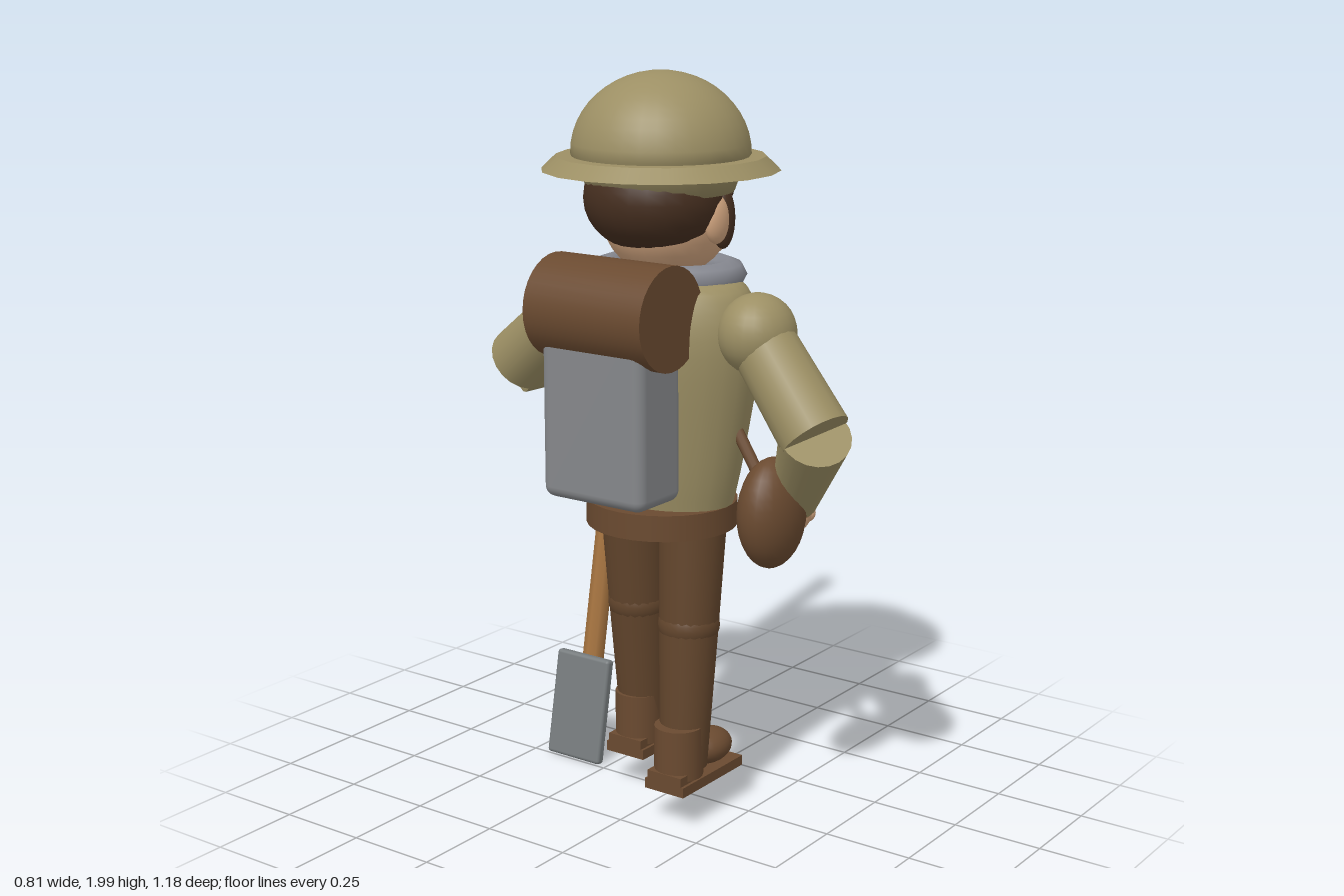
import * as THREE from 'three';
import { RoundedBoxGeometry } from 'three/addons/geometries/RoundedBoxGeometry.js';

const mat = (name, color, side = THREE.FrontSide) => {
  const m = new THREE.MeshStandardMaterial({ color, side });
  m.name = name;
  return m;
};

export function createModel() {
  const khaki = mat('khaki cloth', 0x9c8f64);
  const skin = mat('skin', 0xd3a680);
  const trousers = mat('brown trousers', 0x62452c);
  const leather = mat('leather', 0x6a4a30);
  const hairMat = mat('dark hair', 0x452e1f);
  const wood = mat('wood', 0xa5733f);
  const canvas = mat('grey canvas', 0x85878a);
  const wool = mat('grey wool', 0x85878f);
  const steel = mat('steel', 0x767b7d);
  const cuffMat = mat('cuff', 0xc39468);

  const model = new THREE.Group();
  model.name = 'soldier';
  const V = (p) => new THREE.Vector3(...p);

  const add = (name, geo, material, pos = [0, 0, 0], scale = [1, 1, 1]) => {
    const mesh = new THREE.Mesh(geo, material);
    mesh.name = name;
    mesh.position.set(...pos);
    mesh.scale.set(...scale);
    model.add(mesh);
    return mesh;
  };
  const ball = (name, material, pos, radii) =>
    add(name, new THREE.SphereGeometry(1, 24, 16), material, pos, radii);
  // Tapered cylinder between two points
  const limb = (name, material, from, to, r1, r2, sides = 20) => {
    const a = V(from), b = V(to), d = b.clone().sub(a);
    const mesh = add(name, new THREE.CylinderGeometry(r2, r1, d.length(), sides), material);
    mesh.position.copy(a).add(b).multiplyScalar(0.5);
    mesh.quaternion.setFromUnitVectors(new THREE.Vector3(0, 1, 0), d.normalize());
    return mesh;
  };
  const lathe = (name, material, pts, pos, scale) =>
    add(name, new THREE.LatheGeometry(new THREE.SplineCurve(
      pts.map(([r, y]) => new THREE.Vector2(r, y))).getPoints(24), 28), material, pos, scale);

  // Torso
  lathe('torso', khaki, [[0, 0.78], [0.17, 0.785], [0.2, 0.86], [0.238, 1.03], [0.277, 1.28],
    [0.262, 1.41], [0.2, 1.475], [0, 1.5]], [-0.05, 0, 0], [0.7, 1, 1]);
  add('belt', new THREE.CylinderGeometry(0.205, 0.205, 0.07, 28), leather, [-0.057, 0.842, 0], [0.96, 1, 1]);
  add('beltBuckle', new THREE.BoxGeometry(0.02, 0.05, 0.065), wood, [0.142, 0.865, 0]);

  // Scarf with hanging tip
  const ring = new THREE.TorusGeometry(0.165, 0.05, 8, 24);
  ring.rotateX(Math.PI / 2);
  add('scarf', ring, wool, [-0.025, 1.478, 0], [0.84, 0.78, 1]);
  const tip = add('scarfTip', new THREE.ConeGeometry(0.05, 0.09, 4), wool, [0.075, 1.42, 0.13]);
  tip.rotation.set(Math.PI - 0.2, 0.4, 0);

  // Head and face
  ball('head', skin, [-0.03, 1.635, 0], [0.185, 0.17, 0.165]);
  ball('jaw', skin, [0.015, 1.575, 0], [0.135, 0.075, 0.143]);
  ball('hair', hairMat, [-0.09, 1.68, 0], [0.18, 0.145, 0.185]);
  ball('nose', skin, [0.157, 1.635, 0], [0.031, 0.048, 0.031]);
  for (const s of [1, -1]) {
    ball('eye', hairMat, [0.122, 1.68, 0.08 * s], [0.018, 0.024, 0.02]);
    ball('ear', skin, [-0.045, 1.63, 0.165 * s], [0.045, 0.062, 0.026]);
    ball('sideburn', hairMat, [-0.01, 1.63, 0.16 * s], [0.035, 0.08, 0.03]);
  }

  // Helmet
  const dome = [];
  for (let i = 0; i <= 12; i++) {
    const a = (i / 12) * Math.PI / 2;
    dome.unshift(new THREE.Vector2(0.233 * Math.sin(a), 1.79 + 0.21 * Math.cos(a)));
  }
  dome.unshift(new THREE.Vector2(0, 1.69), new THREE.Vector2(0.19, 1.695), new THREE.Vector2(0.21, 1.75));
  add('helmetDome', new THREE.LatheGeometry(dome, 32), khaki, [-0.06, 0, 0]);
  const brim = add('helmetBrim', new THREE.CylinderGeometry(0.272, 0.31, 0.036, 18), khaki, [-0.06, 1.767, 0]);
  brim.rotation.y = Math.PI / 2;

  // Backpack and bedroll
  add('backpack', new RoundedBoxGeometry(0.185, 0.5, 0.32, 3, 0.03), canvas, [-0.277, 1.17, 0]);
  limb('bedroll', leather, [-0.27, 1.41, -0.182], [-0.27, 1.41, 0.185], 0.135, 0.135, 32);

  // Legs and boots: [heel x, hip x, side]
  for (const [heel, hip, s] of [[-0.215, -0.07, 1], [-0.07, -0.035, -1]]) {
    const z = 0.12 * s, top = [hip, 0.82, 0.11 * s], foot = [heel + 0.09, 0.16, z];
    const knee = V(top).lerp(V(foot), 0.41).toArray();
    limb('thigh', trousers, top, knee, 0.09, 0.08);
    limb('shin', trousers, knee, foot, 0.08, 0.064);
    ball('knee', trousers, knee, [0.083, 0.07, 0.083]);
    limb('bootShaft', leather, [heel + 0.068, 0.14, z], [heel + 0.068, 0.28, z], 0.066, 0.066);
    add('bootHeel', new THREE.BoxGeometry(0.08, 0.026, 0.11), leather, [heel + 0.04, 0.146, z]);
    add('bootSole', new THREE.BoxGeometry(0.28, 0.028, 0.126), leather, [heel + 0.14, 0.12, z]);
    ball('bootToe', leather, [heel + 0.2, 0.178, z], [0.08, 0.048, 0.063]);
  }

  // Arms: shoulder, elbow, wrist, hand
  const arms = [
    [[-0.065, 1.355, 0.305], [-0.1, 1.125, 0.505], [0.035, 0.905, 0.36], [0.055, 0.865, 0.345]],
    [[-0.065, 1.355, -0.285], [-0.015, 1.175, -0.515], [0.185, 1.185, -0.375], [0.245, 1.19, -0.325]],
  ];
  for (const [shoulder, elbow, wrist, hand] of arms) {
    ball('shoulder', khaki, shoulder, [0.108, 0.105, 0.1]);
    limb('upperArm', khaki, shoulder, elbow, 0.085, 0.093);
    limb('forearm', khaki, elbow, wrist, 0.093, 0.062);
    const dir = V(hand).sub(V(wrist)).normalize();
    limb('cuff', cuffMat, wrist, V(wrist).addScaledVector(dir, 0.022).toArray(), 0.06, 0.056);
    limb('wrist', skin, wrist, hand, 0.052, 0.046);
    ball('hand', skin, hand, [0.05, 0.056, 0.048]);
    // Curled fingers around the front of the hand
    const side = new THREE.Vector3(0, 1, 0).cross(dir).normalize();
    for (let i = 0; i < 4; i++) {
      const p = V(hand).addScaledVector(dir, 0.035).addScaledVector(side, (i - 1.5) * 0.026);
      p.y += 0.02 - 0.012 * i;
      ball('finger', skin, p.toArray(), [0.021, 0.024, 0.021]);
    }
  }
  ball('thumb', skin, [0.265, 1.215, -0.345], [0.03, 0.028, 0.028]);

  // Hip pouch on its strap
  ball('canteen', leather, [-0.06, 0.89, 0.352], [0.112, 0.147, 0.08]);
  limb('canteenStrap', leather, [-0.06, 0.96, 0.325], [-0.05, 1.09, 0.235], 0.016, 0.016, 10);

  // Shovel
  limb('shovelHandle', wood, [0.062, 0.06, -0.365], [0.377, 1.765, -0.365], 0.031, 0.031, 8);
  const blade = add('shovelBlade', new RoundedBoxGeometry(0.03, 0.305, 0.186, 2, 0.01), steel, [0.04, 0.16, -0.363]);
  blade.rotation.z = -Math.atan2(0.315, 1.705);

  return model;
}
